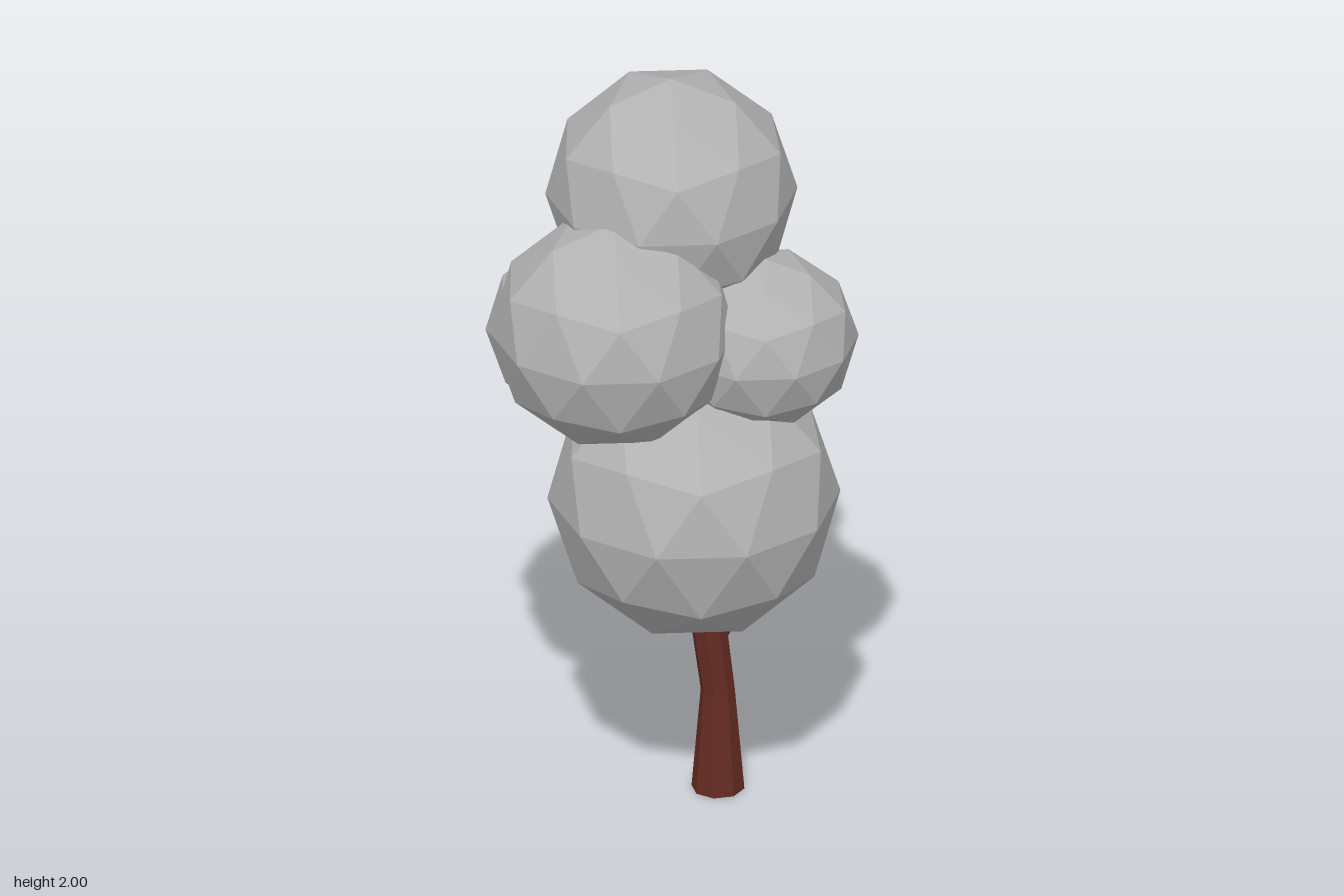
import * as THREE from 'three';

const foliage = new THREE.MeshStandardMaterial({ color: 0xb2b2b2, flatShading: true });
foliage.name = 'foliageGrey';
const bark = new THREE.MeshStandardMaterial({ color: 0x642c23, flatShading: true });
bark.name = 'barkBrown';

// Faceted limb: rings of [x, y, z, radius] joined by quads and capped at both ends
function limb(name, rings, sides) {
  const up = new THREE.Vector3(0, 1, 0);
  const centres = rings.map(([x, y, z]) => new THREE.Vector3(x, y, z));
  const last = rings.length - 1;
  const positions = [], index = [];
  rings.forEach(([, , , r], i) => {
    const a = centres[Math.max(i - 1, 0)], b = centres[Math.min(i + 1, last)];
    const q = new THREE.Quaternion().setFromUnitVectors(up, b.clone().sub(a).normalize());
    if (i === 0) q.setFromUnitVectors(up, centres[1].clone().sub(centres[0]).normalize());
    for (let s = 0; s < sides; s++) {
      const t = (s + 0.5) / sides * Math.PI * 2;
      const p = new THREE.Vector3(r * Math.sin(t), 0, r * Math.cos(t)).applyQuaternion(q).add(centres[i]);
      positions.push(p.x, p.y, p.z);
    }
  });
  for (let i = 0; i < last; i++) {
    for (let s = 0; s < sides; s++) {
      const a = i * sides + s, b = i * sides + (s + 1) % sides;
      index.push(a, b, b + sides, a, b + sides, a + sides);
    }
  }
  for (let s = 1; s < sides - 1; s++) {
    const top = last * sides;
    index.push(0, s + 1, s, top, top + s, top + s + 1);
  }
  const g = new THREE.BufferGeometry();
  g.setAttribute('position', new THREE.Float32BufferAttribute(positions, 3));
  g.setIndex(index);
  const flat = g.toNonIndexed();
  flat.computeVertexNormals();
  const mesh = new THREE.Mesh(flat, bark);
  mesh.name = name;
  return mesh;
}

export function createModel() {
  const tree = new THREE.Group();
  tree.name = 'tree';

  // Trunk, side branch and twig
  tree.add(limb('trunk', [
    [0.138, 0, 0.012, 0.068], [0.138, 0.28, 0.01, 0.044],
    [0.115, 0.47, 0.006, 0.046], [0.125, 0.65, 0.006, 0.042],
  ], 8));
  tree.add(limb('branch', [
    [0.125, 0.42, 0, 0.036], [0.19, 0.485, -0.06, 0.03], [0.275, 0.58, -0.135, 0.025],
    [0.32, 0.72, -0.167, 0.019], [0.312, 0.84, -0.2, 0.014], [0.295, 0.94, -0.235, 0.01],
  ], 6));
  tree.add(limb('twig', [
    [0.32, 0.72, -0.167, 0.011], [0.305, 0.77, -0.155, 0.008], [0.295, 0.82, -0.138, 0.006],
  ], 5));

  // Faceted leaf ball with a corner pointing straight up
  const ball = new THREE.IcosahedronGeometry(1, 1);
  ball.rotateZ(Math.atan2(2, 1 + Math.sqrt(5)));
  ball.rotateY(THREE.MathUtils.degToRad(8));

  // name, centre, horizontal radius, vertical radius
  const clumps = [
    ['topFoliage', [0.036, 1.68, -0.072], 0.321, 0.32],
    ['frontRightFoliage', [-0.16, 1.405, 0.124], 0.317, 0.302],
    ['frontLeftFoliage', [0.225, 1.333, 0.117], 0.249, 0.228],
    ['lowerFoliage', [0.052, 0.9, 0.11], 0.373, 0.37],
    ['backLeftFoliage', [0.133, 1.185, -0.17], 0.318, 0.298],
    ['backRightFoliage', [-0.173, 1.27, -0.157], 0.25, 0.229],
  ];
  for (const [name, centre, r, h] of clumps) {
    const m = new THREE.Mesh(ball, foliage);
    m.name = name;
    m.position.set(...centre);
    m.scale.set(r, h, r);
    tree.add(m);
  }
  return tree;
}
